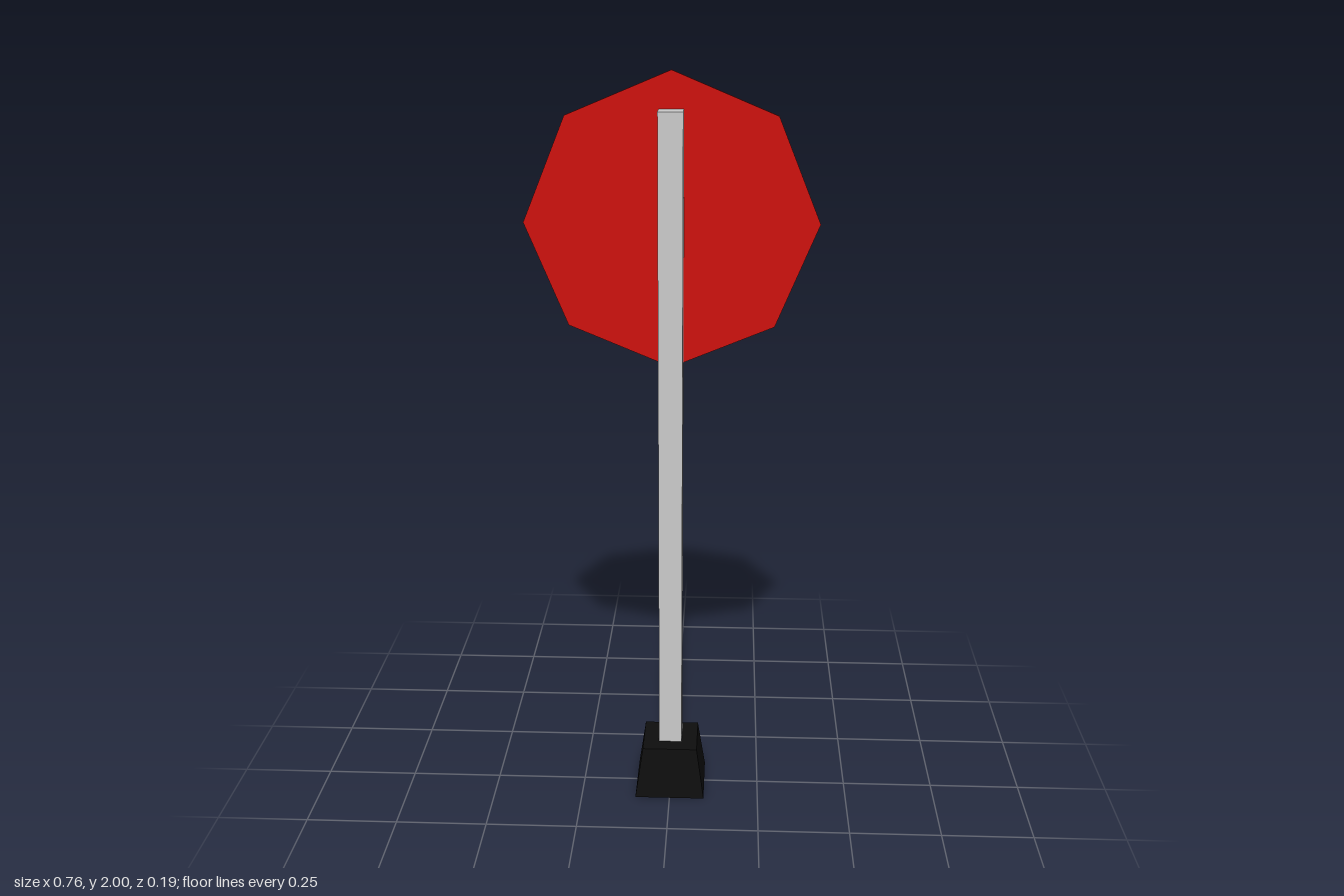
import * as THREE from 'three';

const paint = (color) => new THREE.MeshStandardMaterial({ color, flatShading: true });

function addPart(group, name, geometry, material, y, z = 0) {
  const mesh = new THREE.Mesh(geometry, material);
  mesh.name = name;
  mesh.position.set(0, y, z);
  group.add(mesh);
}

export function createModel() {
  const group = new THREE.Group();
  group.name = 'roadSign';

  // Tapered square foot
  const baseHeight = 0.145;
  const base = new THREE.CylinderGeometry(0.076 * Math.SQRT2, 0.097 * Math.SQRT2, baseHeight, 4);
  base.rotateY(Math.PI / 4);
  addPart(group, 'base', base, paint(0x0e0e0e), baseHeight / 2);

  // Square post standing on the foot
  const postTop = 1.905;
  const postHeight = postTop - baseHeight;
  addPart(group, 'post', new THREE.BoxGeometry(0.064, postHeight, 0.064), paint(0xcccccc), baseHeight + postHeight / 2);

  // Thin octagonal plate behind the post, one corner pointing up; materials: rim, front, back
  const radius = 0.382;
  const plate = new THREE.CylinderGeometry(radius, radius, 0.008, 8);
  plate.rotateX(Math.PI / 2);
  addPart(group, 'signPlate', plate, [paint(0xb00d0d), paint(0xd0120e), paint(0xcc2a0f)], 2 - radius, -0.037);

  return group;
}
